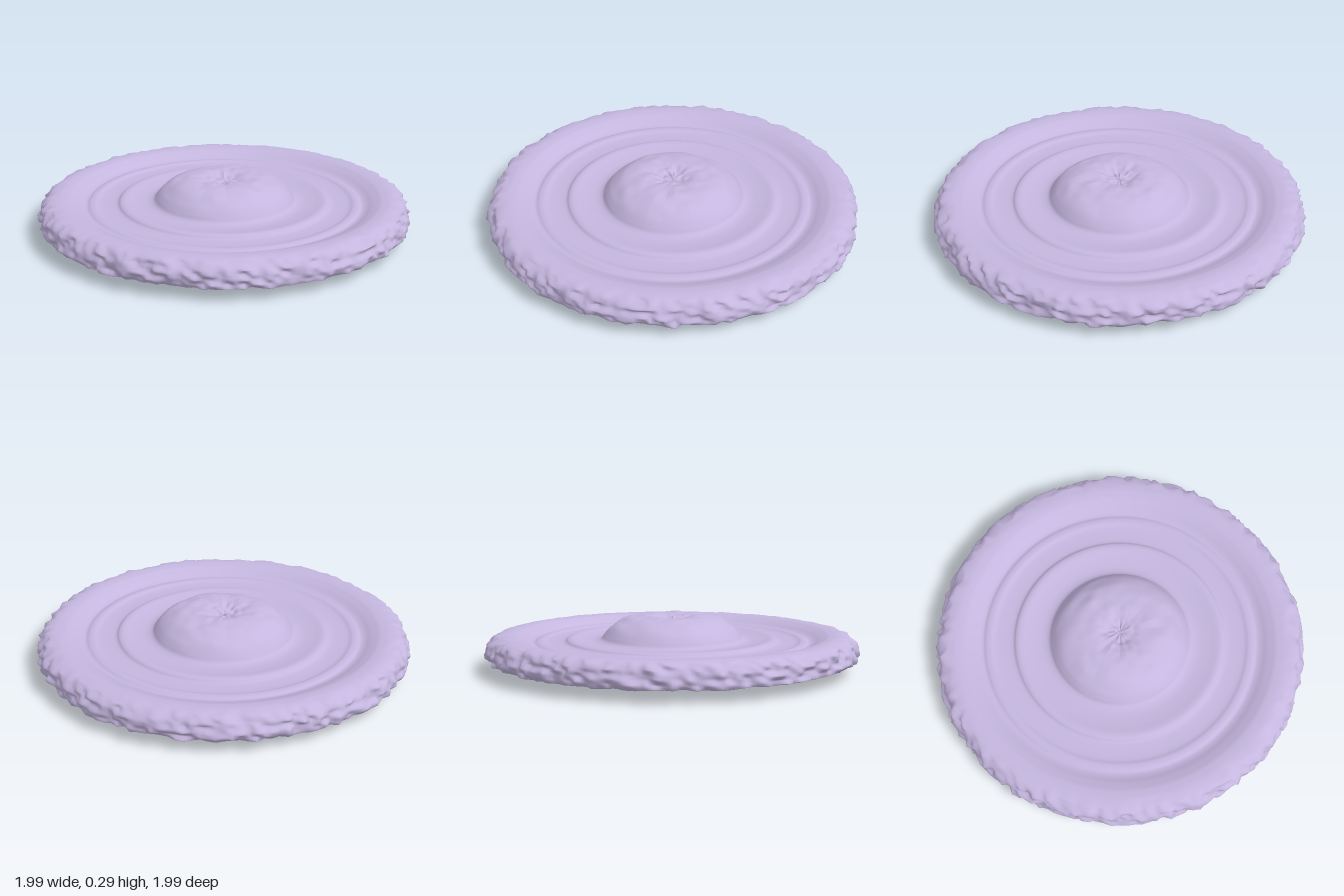
import * as THREE from 'three';
import { mergeVertices } from 'three/addons/utils/BufferGeometryUtils.js';

const SEGMENTS = 320;

// Repeatable lattice value in -1..1
function hash(i, j) {
  const s = Math.sin(i * 127.1 + j * 311.7) * 43758.5453;
  return (s - Math.floor(s)) * 2 - 1;
}

// Smooth noise that repeats around the disc: u is the turn (0..1), v is free
function noise(u, v, cells) {
  const x = u * cells, i = Math.floor(x), j = Math.floor(v);
  const fx = x - i, fy = v - j;
  const a = i % cells, b = (i + 1) % cells;
  const low = THREE.MathUtils.lerp(hash(a, j), hash(b, j), fx);
  const high = THREE.MathUtils.lerp(hash(a, j + 1), hash(b, j + 1), fx);
  return THREE.MathUtils.lerp(low, high, fy);
}

// Smooth run of profile points [radius, height]
function smoothRun(points, count) {
  const curve = new THREE.SplineCurve(points.map(([r, y]) => new THREE.Vector2(r, y)));
  return curve.getPoints(count).map((p) => new THREE.Vector2(Math.max(0, p.x), Math.max(0, p.y)));
}

// Rough surface: ragged rim, wrinkled dome, crumbled centre
function roughen(geometry) {
  const pos = geometry.attributes.position;
  const step = THREE.MathUtils.smoothstep;
  for (let k = 0; k < pos.count; k++) {
    const x = pos.getX(k), y = pos.getY(k), z = pos.getZ(k);
    const r = Math.hypot(x, z);
    if (r < 1e-5) continue;
    const turn = (Math.atan2(z, x) / (2 * Math.PI) + 1) % 1;
    const rim = step(r, 0.84, 0.96);
    const dome = y > 0.18 ? 1 - step(r, 0.3, 0.4) : 0;
    const crumb = y > 0.18 ? 1 - step(r, 0.06, 0.13) : 0;
    const dr = rim * (0.018 * noise(turn, y * 45, 160) + 0.005 * noise(turn, y * 20 + 9, 47));
    const dy = 0.004 * rim * noise(turn, r * 30, 110)
      + dome * 0.006 * noise(turn, r * 22, 26)
      + crumb * step(r, 0, 0.03) * 0.012 * noise(turn, r * 50, 9);
    const s = (r + dr) / r;
    pos.setXYZ(k, x * s, y + dy, z * s);
  }
}

export function createModel() {
  const lavender = new THREE.MeshStandardMaterial({ color: 0xc4b6de });
  lavender.name = 'lavender';

  // Underside: flared centre spike, hollow bowl, rippled rings, raised pad, flat lip
  const underside = smoothRun([
    [0, 0], [0.025, 0.018], [0.042, 0.04], [0.06, 0.066], [0.09, 0.092],
    [0.14, 0.112], [0.21, 0.115], [0.28, 0.102], [0.34, 0.07], [0.37, 0.048], [0.4, 0.047],
    [0.44, 0.067], [0.49, 0.074], [0.535, 0.068], [0.56, 0.047], [0.6, 0.043], [0.64, 0.053],
    [0.67, 0.048], [0.695, 0.036], [0.72, 0.037], [0.75, 0.056], [0.79, 0.061],
    [0.87, 0.061], [0.965, 0.062],
  ], 90);
  // Rounded outer rim
  const rim = smoothRun([
    [0.974, 0.065], [0.982, 0.085], [0.978, 0.12], [0.965, 0.155], [0.935, 0.182],
    [0.885, 0.192], [0.84, 0.189],
  ], 30);
  // Top: shallow dish, ripples, stepped ring, trough and flat-topped dome
  const top = smoothRun([
    [0.83, 0.187], [0.79, 0.171], [0.76, 0.156], [0.735, 0.15], [0.715, 0.157],
    [0.69, 0.158], [0.665, 0.15], [0.62, 0.148], [0.575, 0.151], [0.556, 0.164],
    [0.53, 0.168], [0.48, 0.159], [0.42, 0.154], [0.38, 0.163], [0.36, 0.188], [0.33, 0.222],
    [0.28, 0.256], [0.22, 0.279], [0.15, 0.284], [0.09, 0.277], [0.04, 0.26], [0, 0.256],
  ], 90);

  let geometry = new THREE.LatheGeometry([...underside, ...rim, ...top], SEGMENTS);
  geometry.deleteAttribute('uv');
  geometry.deleteAttribute('normal');
  geometry = mergeVertices(geometry, 1e-5);
  roughen(geometry);
  geometry.computeVertexNormals();

  const disc = new THREE.Mesh(geometry, lavender);
  disc.name = 'rippledDisc';
  const group = new THREE.Group();
  group.name = 'domedDisc';
  group.add(disc);
  return group;
}
